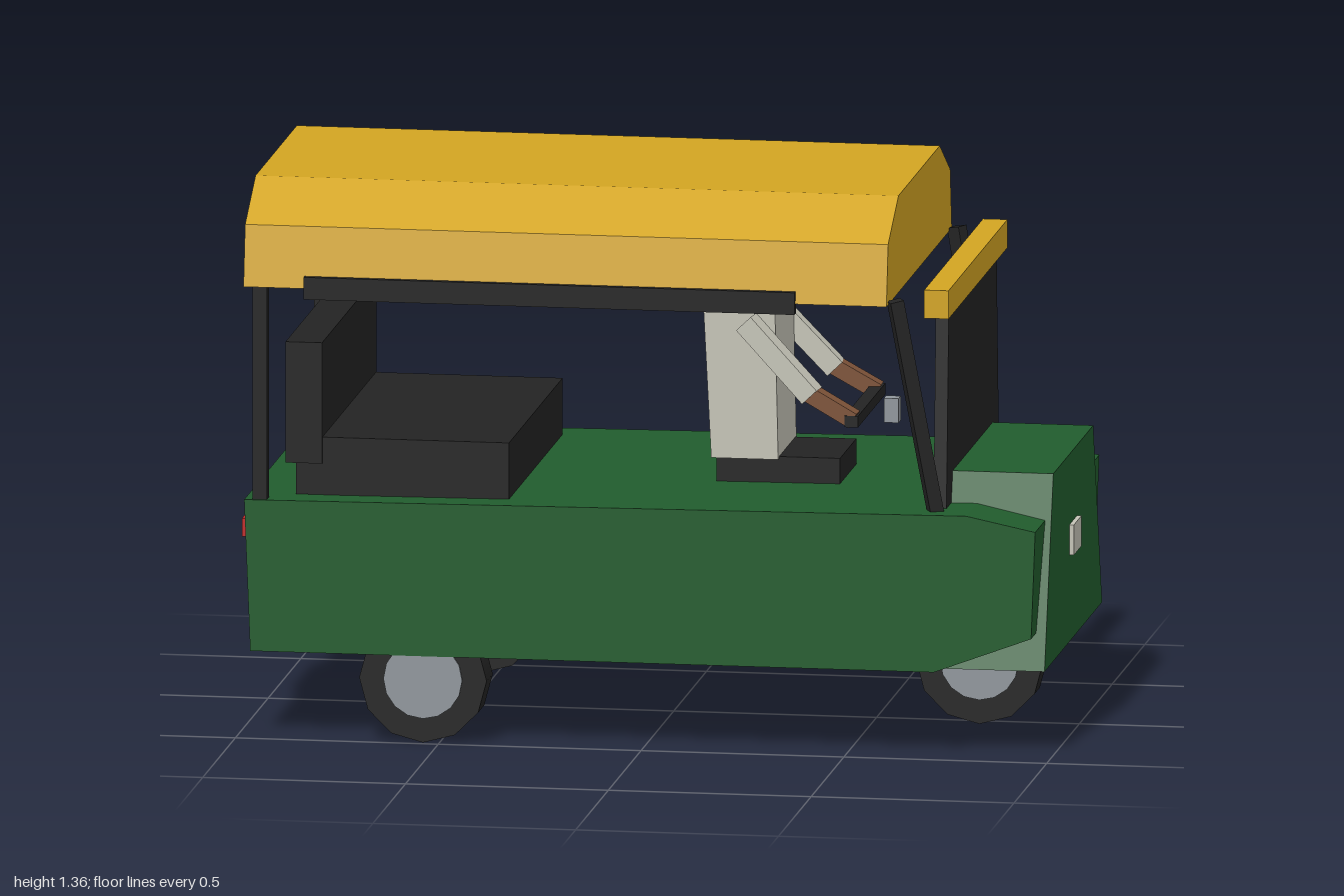
import * as THREE from 'three';

export function createModel() {
  const root = new THREE.Group();
  root.name = 'threeWheeler';

  const mat = (name, color) => {
    const m = new THREE.MeshStandardMaterial({ color });
    m.name = name;
    return m;
  };
  const green = mat('bodyGreen', 0x215c2d);
  const yellow = mat('roofYellow', 0xd2a422);
  const black = mat('black', 0x232323);
  const grey = mat('metalGrey', 0x90969c);
  const cream = mat('cream', 0xc4c3b6);
  const skin = mat('skinBrown', 0x7c5238);
  const red = mat('lampRed', 0xc02a2a);

  const add = (name, geo, material) => {
    const m = new THREE.Mesh(geo, material);
    m.name = name;
    root.add(m);
    return m;
  };
  // Box given by its extents on each axis
  const box = (name, material, [x0, x1], [y0, y1], [z0, z1]) => {
    const m = add(name, new THREE.BoxGeometry(x1 - x0, y1 - y0, z1 - z0), material);
    m.position.set((x0 + x1) / 2, (y0 + y1) / 2, (z0 + z1) / 2);
    return m;
  };
  // Square bar running between two points
  const bar = (name, material, a, b, w, h) => {
    const p = new THREE.Vector3(...a), q = new THREE.Vector3(...b);
    const m = add(name, new THREE.BoxGeometry(w, h, p.distanceTo(q)), material);
    m.position.copy(p).add(q).multiplyScalar(0.5);
    m.lookAt(q);
    return m;
  };
  const extrude = (pts, depth) => new THREE.ExtrudeGeometry(
    new THREE.Shape(pts.map(([x, y]) => new THREE.Vector2(x, y))),
    { depth, bevelEnabled: false });
  // Symmetric cross-section, given by its +z half from the bottom up, run along x
  const alongX = (name, material, half, x0, x1) => {
    const pts = [...half, ...half.map(([z, y]) => [-z, y]).reverse()];
    const g = extrude(pts, x1 - x0).rotateY(Math.PI / 2).translate(x0, 0, 0);
    return add(name, g, material);
  };

  // Lower body, with the mudguard ends sloping at the front
  add('body', extrude([
    [-0.965, 0.215], [0.72, 0.215], [0.96, 0.305],
    [0.97, 0.57], [0.8, 0.605], [-0.98, 0.59],
  ], 0.98).translate(0, 0, -0.49), green);
  alongX('nose', green, [[0.44, 0.215], [0.305, 0.68]], 0.72, 0.985);

  // Roof, windscreen and visor
  alongX('roof', yellow, [[0.5, 1.12], [0.475, 1.27], [0.315, 1.36]], -0.98, 0.605);
  alongX('windscreen', black, [[0.402, 0.59], [0.363, 1.12]], 0.705, 0.737);
  box('visor', yellow, [0.69, 0.75], [1.085, 1.155], [-0.45, 0.45]);

  // Wheels: one in front, two behind
  const wheel = (name, x, z, width) => {
    const tyre = add(name, new THREE.CylinderGeometry(0.157, 0.157, width, 12).rotateX(Math.PI / 2), black);
    tyre.position.set(x, 0.157, z);
    const hub = new THREE.Mesh(
      new THREE.CylinderGeometry(0.097, 0.097, width + 0.008, 16).rotateX(Math.PI / 2), grey);
    hub.name = 'hub';
    tyre.add(hub);
  };
  wheel('frontWheel', 0.76, 0, 0.08);

  for (const s of [1, -1]) {
    const side = s > 0 ? 'Right' : 'Left';
    const span = (a, b) => (s > 0 ? [a, b] : [-b, -a]);
    wheel('rearWheel' + side, -0.54, s * 0.438, 0.094);

    // Roof posts and rolled side curtain
    bar('frontPost' + side, black, [0.622, 1.13, s * 0.47], [0.716, 0.59, s * 0.425], 0.034, 0.034);
    box('rearPost' + side, black, [-0.96, -0.925], [0.585, 1.13], span(0.452, 0.485));
    box('sideCurtain' + side, black, [-0.83, 0.38], [1.095, 1.15], span(0.484, 0.51));

    // Mirrors and tail lamps
    box('mirror' + side, grey, [0.588, 0.624], [0.82, 0.88], span(0.398, 0.434));
    box('tailLamp' + side, red, [-1.0, -0.97], [0.48, 0.525], span(0.33, 0.4));

    // Driver's arms
    bar('sleeve' + side, cream, [0.205, 1.005, s * 0.165], [0.37, 0.83, s * 0.18], 0.055, 0.05);
    bar('forearm' + side, skin, [0.35, 0.845, s * 0.18], [0.475, 0.775, s * 0.185], 0.045, 0.04);
  }

  // Headlamp and rear plate
  box('headlamp', cream, [0.98, 0.996], [0.43, 0.505], [-0.06, 0.06]);
  box('rearPlate', yellow, [-1.0, -0.96], [0.3, 0.37], [-0.15, 0.15]);

  // Passenger bench and driver's seat
  box('bench', black, [-0.865, -0.34], [0.592, 0.735], [-0.41, 0.41]);
  box('benchBack', black, [-0.89, -0.8], [0.67, 0.97], [-0.415, 0.415]);
  box('driverSeat', black, [0.125, 0.43], [0.59, 0.665], [-0.125, 0.125]);

  // Driver
  add('torso', extrude([[0.115, 0.66], [0.28, 0.66], [0.272, 1.035], [0.096, 1.03]], 0.28)
    .translate(0, 0, -0.14), cream);
  box('neck', skin, [0.172, 0.245], [1.03, 1.125], [-0.045, 0.045]);
  box('handlebar', black, [0.455, 0.488], [0.76, 0.788], [-0.21, 0.21]);

  return root;
}
